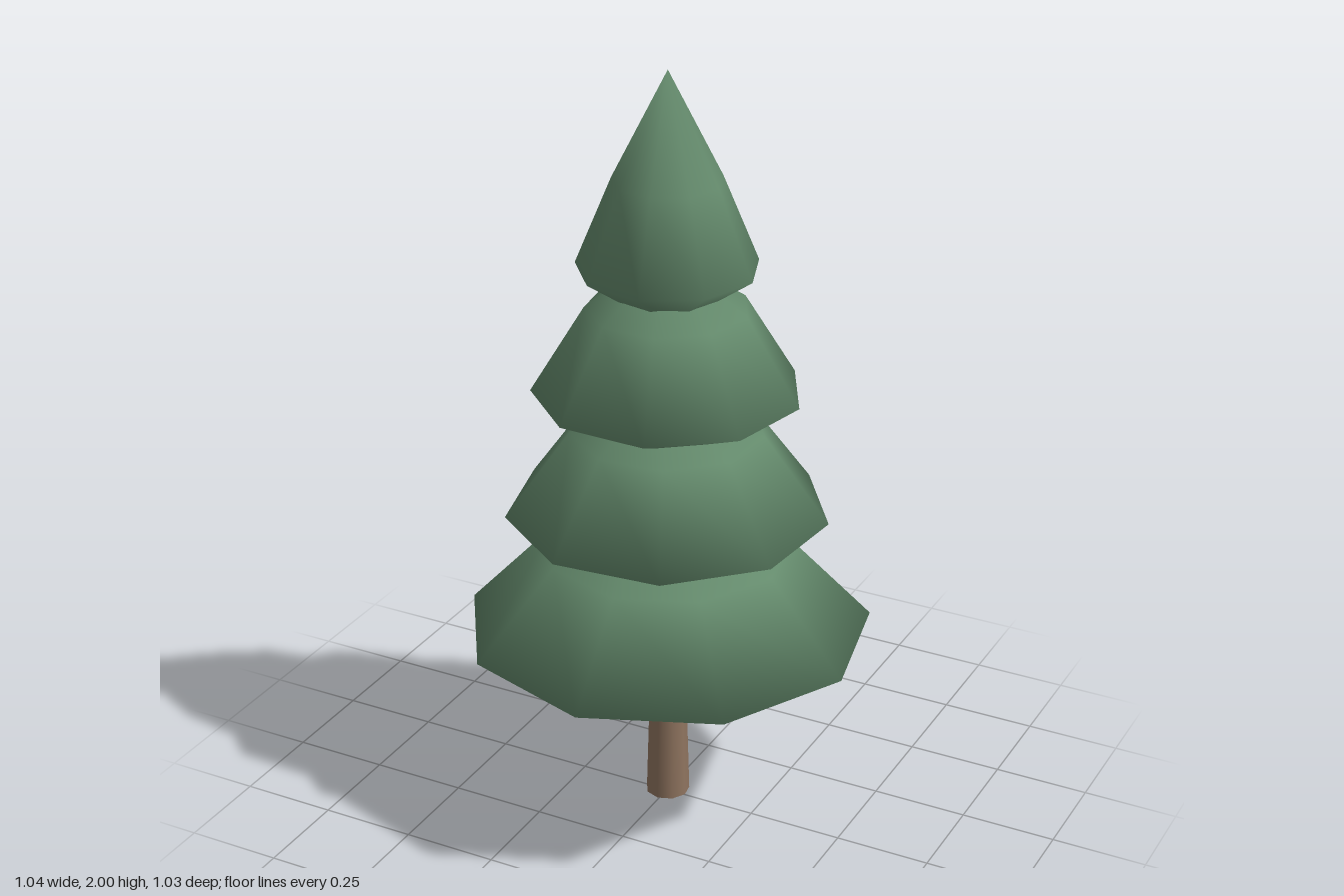
import * as THREE from 'three';
import { mergeVertices } from 'three/addons/utils/BufferGeometryUtils.js';

const SIDES = 9;

// One bough tier: open hole below, flared rim, shoulder, pointed top.
function tierGeometry(radius, rimY, apexY, angle) {
  const profile = [
    [0.26 * radius, rimY - 0.12],
    [radius, rimY],
    [0.6 * radius, rimY + 0.225],
    [0, apexY],
  ].map(([r, y]) => new THREE.Vector2(r, y));
  const lathe = new THREE.LatheGeometry(profile, SIDES, THREE.MathUtils.degToRad(90 - angle));
  lathe.deleteAttribute('uv');
  lathe.deleteAttribute('normal');
  const geometry = mergeVertices(lathe, 1e-4);
  geometry.computeVertexNormals(); // soft shading right over the rim
  return geometry;
}

export function createModel() {
  const needleGreen = new THREE.MeshStandardMaterial({ color: 0x648a6c, side: THREE.DoubleSide });
  needleGreen.name = 'needleGreen';
  const barkBrown = new THREE.MeshStandardMaterial({ color: 0x8f745f });
  barkBrown.name = 'barkBrown';

  const tree = new THREE.Group();
  tree.name = 'tree';

  // Trunk, running up inside the lowest tier
  const trunk = new THREE.Mesh(new THREE.CylinderGeometry(0.042, 0.058, 0.55, SIDES), barkBrown);
  trunk.name = 'trunk';
  trunk.position.y = 0.275;
  tree.add(trunk);

  // Tiers from bottom to top: radius, rim height, apex height, turn in degrees
  const tiers = [
    ['lowestTier', 0.53, 0.51, 0.865, 7.8],
    ['lowerTier', 0.415, 0.84, 1.2, 25.4],
    ['upperTier', 0.343, 1.17, 1.535, 32.3],
    ['topTier', 0.23, 1.5, 2, 0.2],
  ];
  for (const [name, radius, rimY, apexY, angle] of tiers) {
    const tier = new THREE.Mesh(tierGeometry(radius, rimY, apexY, angle), needleGreen);
    tier.name = name;
    tree.add(tier);
  }

  tree.position.set(-0.004, 0, -0.012);
  const model = new THREE.Group();
  model.name = 'coniferTree';
  model.add(tree);
  return model;
}
